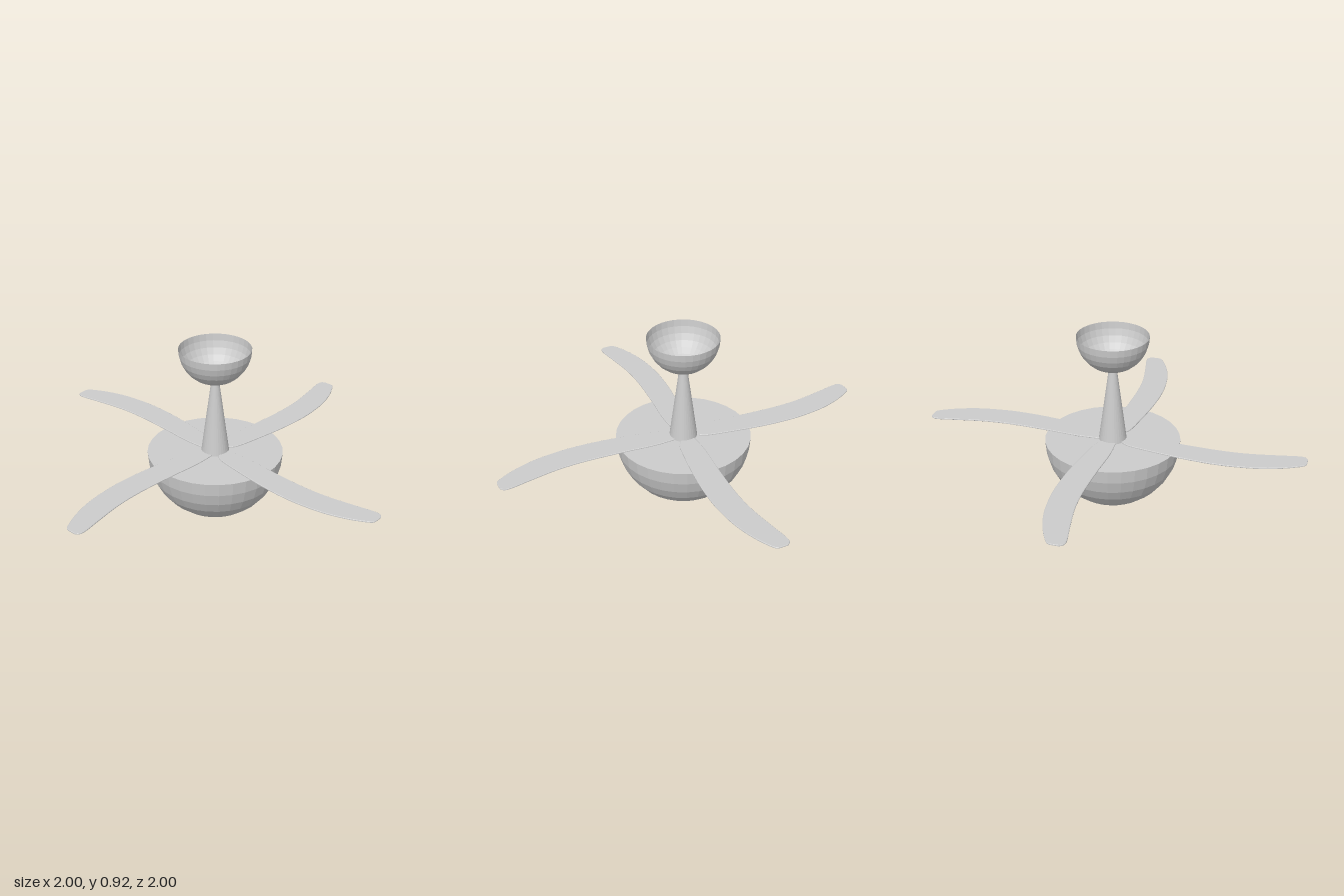
import * as THREE from 'three';

const material = new THREE.MeshStandardMaterial({ color: 0xcccccc, flatShading: true });
const openMaterial = new THREE.MeshStandardMaterial({ color: 0xcccccc, flatShading: true, side: THREE.DoubleSide });

function addMesh(parent, name, geometry, y, mat = material) {
  const mesh = new THREE.Mesh(geometry, mat);
  mesh.name = name;
  mesh.position.y = y;
  parent.add(mesh);
  return mesh;
}

// Lower half of a faceted sphere, open at the top
const bowl = (radius) =>
  new THREE.SphereGeometry(radius, 32, 8, 0, Math.PI * 2, Math.PI / 2, Math.PI / 2);

// Thin swept blade reaching along +x, with a rounded root and tip
function bladeGeometry() {
  const points = (list) => list.map(([x, z]) => new THREE.Vector2(x, z));
  const shape = new THREE.Shape();
  shape.moveTo(0.06, -0.03);
  shape.splineThru(points([
    [0.18, -0.032], [0.35, -0.017], [0.55, -0.006], [0.7, -0.012],
    [0.85, -0.036], [0.94, -0.053], [0.98, -0.053], [0.997, -0.035],
  ]));
  shape.lineTo(0.997, 0.006);
  shape.splineThru(points([
    [0.982, 0.028], [0.9, 0.07], [0.8, 0.103], [0.7, 0.12], [0.57, 0.128],
    [0.4, 0.117], [0.2, 0.086], [0.1, 0.065], [0.06, 0.04],
  ]));
  shape.closePath();
  const geometry = new THREE.ExtrudeGeometry(shape, {
    depth: 0.004, curveSegments: 48, bevelEnabled: true,
    bevelThickness: 0.002, bevelSize: 0.003, bevelSegments: 1,
  });
  return geometry.rotateX(Math.PI / 2);
}

export function createModel() {
  const fan = new THREE.Group();
  fan.name = 'ceilingFan';

  // Motor housing: half sphere closed by a flat disc
  addMesh(fan, 'motorHousing', bowl(0.35), 0.35);
  addMesh(fan, 'housingTop', new THREE.CircleGeometry(0.35, 32).rotateX(-Math.PI / 2), 0.35);

  // Tapered stem and the open cup at the ceiling
  addMesh(fan, 'stem', new THREE.CylinderGeometry(0.02, 0.072, 0.395, 32), 0.5475);
  addMesh(fan, 'ceilingCup', bowl(0.183), 0.923, openMaterial);

  // Four blades
  const blade = bladeGeometry();
  for (let i = 0; i < 4; i++) {
    addMesh(fan, 'blade' + (i + 1), blade, 0.355).rotation.y = i * Math.PI / 2;
  }
  return fan;
}
